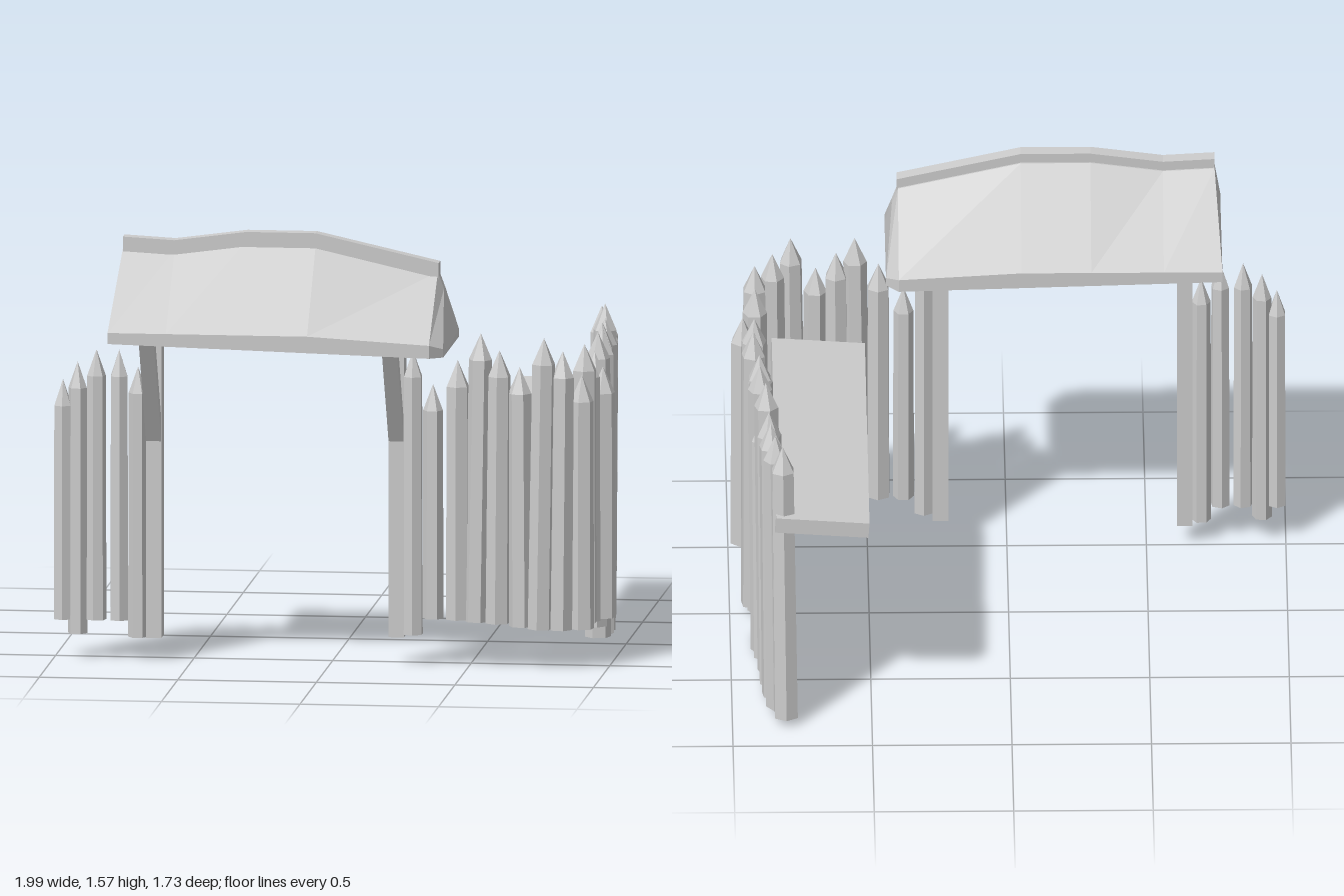
import * as THREE from 'three';

const mat = new THREE.MeshStandardMaterial({ color: 0xcccccc, flatShading: true });
const UP = new THREE.Vector3(0, 1, 0);

function add(parent, geometry, name) {
  const mesh = new THREE.Mesh(geometry, mat);
  mesh.name = name;
  parent.add(mesh);
  return mesh;
}

// Six-sided sharpened log from its base to its tip
function stake(parent, base, tip, r, turn) {
  const a = new THREE.Vector3(...base);
  const dir = new THREE.Vector3(...tip).sub(a);
  const h = dir.length();
  const profile = [[0, 0], [r, 0], [r * 0.94, h - 0.095], [0, h]].map(p => new THREE.Vector2(...p));
  const geo = new THREE.LatheGeometry(profile, 6);
  geo.rotateY(turn);
  const mesh = add(parent, geo, 'stake');
  mesh.position.copy(a);
  mesh.quaternion.setFromUnitVectors(UP, dir.normalize());
}

// Closed solid through matching [x, y, z] rings
function loft(rings) {
  const pos = [];
  const tri = (a, b, c) => pos.push(...a, ...b, ...c);
  const n = rings[0].length;
  for (let i = 0; i < rings.length - 1; i++) {
    const A = rings[i], B = rings[i + 1];
    for (let j = 0; j < n; j++) {
      const k = (j + 1) % n;
      tri(A[j], B[j], B[k]);
      tri(A[j], B[k], A[k]);
    }
  }
  const last = rings[rings.length - 1];
  for (let j = 1; j < n - 1; j++) {
    tri(rings[0][0], rings[0][j], rings[0][j + 1]);
    tri(last[0], last[j + 1], last[j]);
  }
  const geo = new THREE.BufferGeometry();
  geo.setAttribute('position', new THREE.Float32BufferAttribute(pos, 3));
  geo.computeVertexNormals();
  return geo;
}

export function createModel() {
  const model = new THREE.Group();

  // Short fence left of the gate: x, bottom, top
  const shortFence = new THREE.Group();
  shortFence.name = 'shortFence';
  model.add(shortFence);
  [[-0.968, 0.14, 1.01], [-0.915, 0.09, 1.075], [-0.847, 0.14, 1.12],
    [-0.765, 0.14, 1.12], [-0.697, 0.08, 1.06]].forEach(([x, y0, y1], i) =>
    stake(shortFence, [x, y0, 0.545], [x, y1, 0.545], 0.036, i * 0.4));

  // Front fence: base x, tip x, z, bottom, top
  const frontFence = new THREE.Group();
  frontFence.name = 'frontFence';
  model.add(frontFence);
  [[0.297, 0.297, 0.56, 0.11, 1.14], [0.37, 0.37, 0.565, 0.17, 1.02], [0.46, 0.46, 0.575, 0.17, 1.11],
    [0.528, 0.545, 0.585, 0.165, 1.21], [0.605, 0.612, 0.585, 0.16, 1.15], [0.69, 0.685, 0.585, 0.15, 1.09],
    [0.76, 0.775, 0.605, 0.145, 1.2], [0.83, 0.84, 0.58, 0.14, 1.15], [0.905, 0.905, 0.55, 0.14, 1.06]]
    .forEach(([x0, x1, z, y0, y1], i) =>
      stake(frontFence, [x0, y0, z], [x1, y1, z], i < 2 ? 0.038 : 0.045, i * 0.5));

  // Side fence: tip x, tip z, bottom, top, backward lean of the base
  const sideFence = new THREE.Group();
  sideFence.name = 'sideFence';
  model.add(sideFence);
  [[0.905, 0.47, 0.15, 1.16, 0], [0.905, 0.37, 0.14, 1.12, 0], [0.95, 0.285, 0.14, 1.05, 0],
    [0.91, 0.2, 0.095, 1.09, 0], [0.91, 0.1, 0.04, 1.145, 0], [0.915, 0.003, 0.04, 1.145, 0],
    [0.89, -0.085, 0.06, 1.08, 0], [0.895, -0.16, 0, 1.14, 0.035], [0.895, -0.245, 0.005, 1.14, 0.035],
    [0.885, -0.345, 0.03, 0.99, 0.03], [0.875, -0.42, 0.015, 1.165, 0.04], [0.865, -0.52, 0.015, 1.1, 0.03],
    [0.86, -0.605, 0.015, 1.1, 0.03], [0.845, -0.7, 0.02, 1.1, 0.035], [0.82, -0.785, 0.025, 1.1, 0.033]]
    .forEach(([x, z, y0, y1, lean], i) =>
      stake(sideFence, [x - lean * 0.4, y0, z - lean], [x, y1, z], 0.047, i * 0.45));

  // Gate posts with a forward brace under the eave
  [[-0.638, 0.08, 0.53], [0.238, 0.1, 0.54]].forEach(([x, y0, z]) => {
    const post = add(model, new THREE.BoxGeometry(0.056, 1.24 - y0, 0.08), 'gatePost');
    post.position.set(x, (1.24 + y0) / 2, z);
    const a = new THREE.Vector3(x, 0.77, 0.53), b = new THREE.Vector3(x, 1.2, 0.78);
    const brace = add(model, new THREE.BoxGeometry(0.054, a.distanceTo(b), 0.045), 'brace');
    brace.position.addVectors(a, b).multiplyScalar(0.5);
    brace.quaternion.setFromUnitVectors(UP, b.sub(a).normalize());
  });

  // Sagging gable roof: ridge x, eave x, eave bottom, eave top, ridge height, half depth
  const zc = 0.567;
  const roofRings = [
    [-0.745, -0.77, 1.19, 1.23, 1.505, 0.294], [-0.56, -0.56, 1.184, 1.23, 1.495, 0.294],
    [-0.3, -0.3, 1.177, 1.23, 1.53, 0.294], [-0.05, -0.05, 1.17, 1.23, 1.53, 0.294],
    [0.39, 0.39, 1.158, 1.205, 1.43, 0.294], [0.412, 0.435, 1.155, 1.185, 1.37, 0.24],
  ].map(([xr, xe, lo, hi, top, d]) => [
    [xe, lo, zc + d], [xe, hi, zc + d], [xr, top, zc + 0.02],
    [xr, top, zc - 0.02], [xe, hi, zc - d], [xe, lo, zc - d],
  ]);
  add(model, loft(roofRings), 'roof');

  // Ridge beam following the roof line
  const ridgeRings = [[-0.745, 1.54], [-0.56, 1.53], [-0.3, 1.565], [-0.05, 1.565], [0.395, 1.465]]
    .map(([x, y]) => [[x, y - 0.06, 0.605], [x, y, 0.605], [x, y, 0.553], [x, y - 0.06, 0.553]]);
  add(model, loft(ridgeRings), 'ridgeBeam');

  // Walkway plank behind the side fence
  const walkway = add(model, new THREE.BoxGeometry(0.335, 0.058, 1.36), 'walkway');
  walkway.position.set(0.678, 0.807, -0.175);
  walkway.rotation.z = 0.07;

  return model;
}
